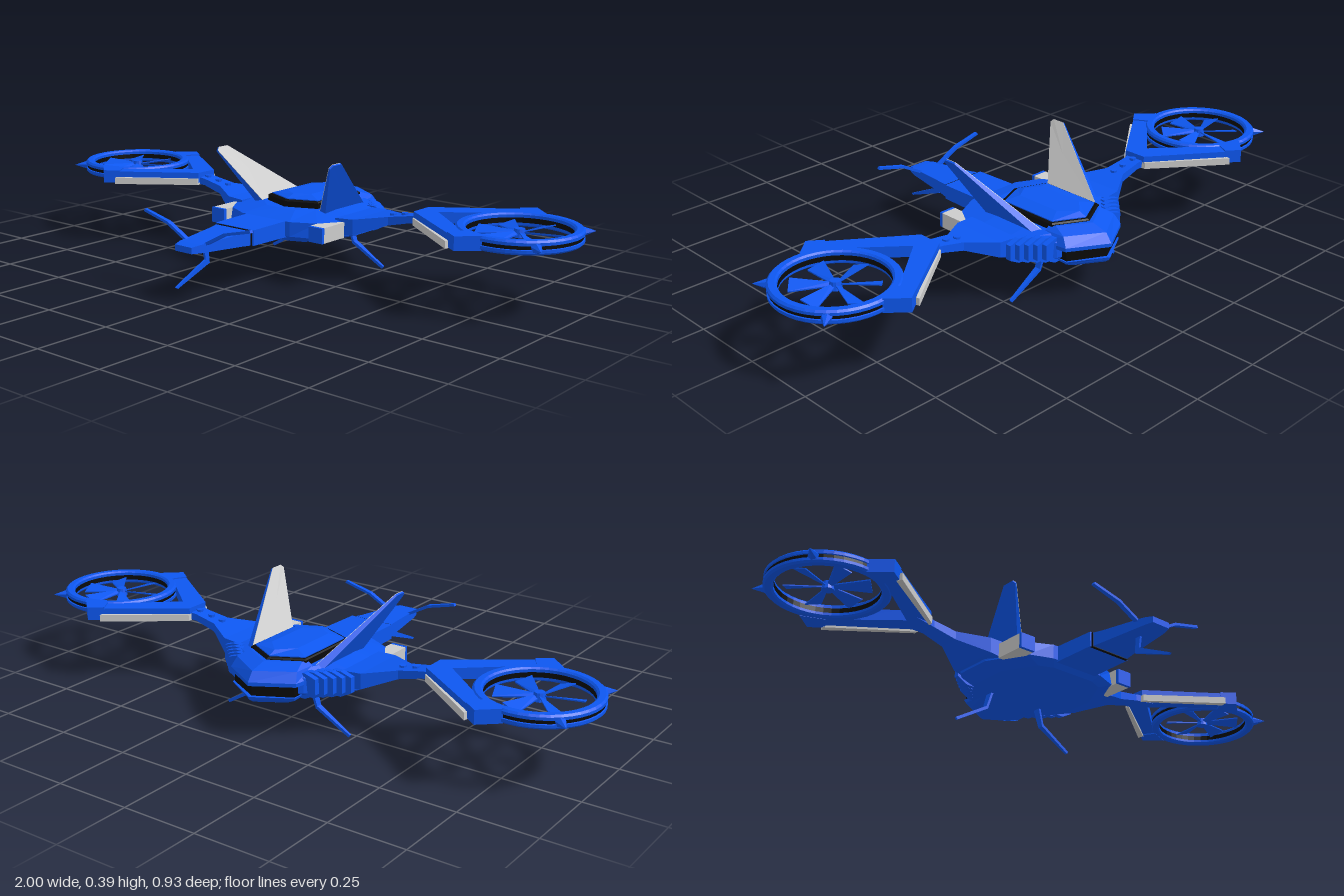
import * as THREE from 'three';

const mat = (color) => new THREE.MeshStandardMaterial({ color, flatShading: true });
const blue = mat(0x0d57f0), black = mat(0x0a0a0a), grey = mat(0xcccccc);
const ZC = -0.158; // z of the arms and rotors

function mesh(name, geo, material) {
  const m = new THREE.Mesh(geo, material);
  m.name = name;
  return m;
}

// Closed solid through cross-sections with equal point counts; winding is made to face outwards.
function loft(name, rings, material) {
  const tris = [], n = rings[0].length;
  const centre = (r) => [0, 1, 2].map((k) => r.reduce((s, p) => s + p[k], 0) / n);
  for (let i = 0; i < rings.length - 1; i++)
    for (let j = 0; j < n; j++) {
      const a = rings[i][j], b = rings[i][(j + 1) % n], c = rings[i + 1][(j + 1) % n], d = rings[i + 1][j];
      tris.push([a, b, c], [a, c, d]);
    }
  const first = rings[0], last = rings[rings.length - 1], c0 = centre(first), c1 = centre(last);
  for (let j = 0; j < n; j++) {
    const k = (j + 1) % n;
    tris.push([c0, first[k], first[j]], [c1, last[j], last[k]]);
  }
  const o = new THREE.Vector3(...c0);
  const v = (p) => new THREE.Vector3(...p).sub(o);
  const volume = tris.reduce((s, [a, b, c]) => s + v(a).dot(v(b).cross(v(c))), 0);
  if (volume < 0) tris.forEach((t) => t.reverse());
  const geo = new THREE.BufferGeometry();
  geo.setAttribute('position', new THREE.Float32BufferAttribute(tris.flat(2), 3));
  geo.computeVertexNormals();
  return mesh(name, geo, material);
}

// Symmetric solid from half plan outlines [x, z], one per height.
function layered(name, layers, material) {
  return loft(name, layers.map(([y, half]) => {
    const mirror = half.filter((p) => p[0] > 0).reverse().map(([x, z]) => [-x, z]);
    return half.concat(mirror).map(([x, z]) => [x, y, z]);
  }), material);
}

// Flat plan polygon given thickness in y.
const slab = (name, poly, y0, y1, material) =>
  loft(name, [y0, y1].map((y) => poly.map(([x, z]) => [x, y, z])), material);

// Tapered blade along a path of [x, y, z, halfWidth]; a is the width axis, b the thickness.
function prong(name, path, a, b) {
  const rings = path.map(([x, y, z, w]) => [[1, 1], [1, -1], [-1, -1], [-1, 1]].map(([i, j]) =>
    [x, y, z].map((q, k) => q + i * w * a[k] + j * b[k])));
  return loft(name, rings, blue);
}

// Rectangular sections [z, halfWidth, yLow, yHigh] along z.
const beam = (name, sections, material) => loft(name, sections.map(([z, w, y0, y1]) =>
  [[-w, y0, z], [w, y0, z], [w, y1, z], [-w, y1, z]]), material);

function fuselage(g) {
  g.add(layered('hull', [
    [0.13, [[0, 0.03], [0.08, 0.03], [0.13, 0.01], [0.19, -0.1], [0.19, -0.24], [0.13, -0.33], [0, -0.4]]],
    [0.15, [[0, 0.05], [0.1, 0.05], [0.18, 0.02], [0.25, -0.11], [0.25, -0.24], [0.13, -0.36], [0, -0.42]]],
    [0.198, [[0, 0.05], [0.1, 0.05], [0.18, 0.01], [0.255, -0.11], [0.255, -0.23], [0.13, -0.355], [0, -0.42]]],
    [0.218, [[0, -0.02], [0.06, -0.025], [0.11, -0.07], [0.15, -0.12], [0.15, -0.24], [0.11, -0.33], [0, -0.39]]],
  ], blue));
  // Tail: two plates with the dark exhaust between them
  g.add(layered('upperTail', [
    [0.178, [[0, -0.25], [0.14, -0.3], [0.125, -0.39], [0, -0.462]]],
    [0.19, [[0, -0.25], [0.14, -0.3], [0.125, -0.39], [0, -0.462]]],
    [0.22, [[0, -0.25], [0.12, -0.3], [0.115, -0.37], [0, -0.44]]],
    [0.234, [[0, -0.25], [0.1, -0.3], [0.1, -0.325], [0, -0.385]]],
  ], blue));
  g.add(layered('exhaust', [0.138, 0.18].map((y) =>
    [y, [[0, -0.3], [0.115, -0.3], [0.115, -0.385], [0, -0.446]]]), black));
  g.add(layered('lowerTail', [
    [0.12, [[0, -0.41], [0.06, -0.405], [0.09, -0.385], [0, -0.44]]],
    [0.131, [[0, -0.3], [0.11, -0.3], [0.115, -0.385], [0, -0.455]]],
    [0.142, [[0, -0.3], [0.12, -0.3], [0.12, -0.39], [0, -0.46]]],
  ], blue));
  // Canopy: dark skirt with a faceted ridge lid
  const hex = (k) => [[0, -0.042], [0.107, -0.085], [0.107, -0.315], [0, -0.372]]
    .map(([x, z]) => [x * k, (z + 0.207) * k - 0.207]);
  g.add(layered('canopyGlass', [[0.205, hex(1)], [0.236, hex(0.99)], [0.24, hex(0.95)]], black));
  g.add(layered('canopyLid', [
    [0.234, hex(0.9)], [0.243, hex(0.9)], [0.254, [[0, -0.09], [0.05, -0.12], [0.05, -0.28], [0, -0.33]]],
  ], blue));
  // Nose boom
  g.add(beam('noseBoom', [[-0.05, 0.085, 0.14, 0.2], [0.06, 0.082, 0.145, 0.198], [0.2, 0.08, 0.146, 0.196]], blue));
  g.add(beam('noseGap', [[0.195, 0.075, 0.145, 0.195], [0.206, 0.074, 0.145, 0.194]], black));
  g.add(beam('nose', [[0.204, 0.073, 0.147, 0.193], [0.24, 0.066, 0.149, 0.19],
    [0.4, 0.043, 0.156, 0.182], [0.43, 0.034, 0.158, 0.178]], blue));
  g.add(prong('chinFin', [[0, 0.165, 0.335, 0.014], [0, 0.11, 0.327, 0.011], [0, 0.053, 0.462, 0.004]],
    [0, 0.6, 0.8], [0.004, 0, 0]));
}

function rotor() {
  const g = new THREE.Group();
  g.name = 'rotor';
  const ring = (name, profile, m) => g.add(mesh(name,
    new THREE.LatheGeometry(profile.map((p) => new THREE.Vector2(...p)), 40), m));
  // Duct with a dark band around it
  ring('duct', [[0.16, 0.224], [0.166, 0.219], [0.184, 0.219], [0.19, 0.225], [0.19, 0.234], [0.184, 0.236],
    [0.184, 0.245], [0.19, 0.247], [0.19, 0.256], [0.184, 0.262], [0.166, 0.262], [0.16, 0.257], [0.16, 0.224]], blue);
  ring('ductBand', [[0.186, 0.234], [0.186, 0.247]], black);
  ring('ductLiner', [[0.159, 0.248], [0.159, 0.232]], black);
  const hub = mesh('hub', new THREE.CylinderGeometry(0.016, 0.02, 0.026, 12), blue);
  hub.position.y = 0.24;
  g.add(hub);
  for (let i = 0; i < 6; i++) {
    const section = (r, w, h) => [[r, 0.238 - h, -w], [r, 0.238 + h, w], [r, 0.242 + h, w], [r, 0.242 - h, -w]];
    const blade = loft('blade', [section(0.012, 0.006, 0.003), section(0.13, 0.026, 0.008)], blue);
    blade.rotation.y = (i + 0.3) * Math.PI / 3;
    g.add(blade);
  }
  return g;
}

function side(g, s) {
  const mx = (pts) => pts.map(([x, ...rest]) => [x * s, ...rest]);
  // Arm, bolts and forked struts
  g.add(loft('arm', [[0.2, 0.1, 0.15, 0.208], [0.265, 0.095, 0.16, 0.211], [0.36, 0.036, 0.196, 0.224],
    [0.44, 0.03, 0.215, 0.238], [0.52, 0.04, 0.222, 0.25]].map(([x, w, y0, y1]) =>
    mx([[x, y0, ZC - w], [x, y0, ZC + w], [x, y1, ZC + w], [x, y1, ZC - w]])), blue));
  [0.355, 0.4, 0.45].forEach((x, i) => {
    const bolt = mesh('bolt', new THREE.CylinderGeometry(0.011, 0.011, 0.012, 8), blue);
    bolt.position.set(x * s, 0.224 + i * 0.008, ZC);
    g.add(bolt);
  });
  for (const v of [1, -1]) {
    const plan = (pts) => pts.map(([x, z]) => [x * s, ZC + z * v]);
    g.add(slab('strut', plan([[0.46, 0], [0.46, 0.04], [0.735, 0.236], [0.79, 0.185], [0.71, 0.155], [0.525, 0]]),
      0.222, 0.258, blue));
    g.add(slab('strutEnd', plan([[0.69, 0.205], [0.735, 0.238], [0.795, 0.185], [0.72, 0.155]]), 0.218, 0.262, blue));
    g.add(slab('strutTrim', plan([[0.46, 0.03], [0.46, 0.046], [0.695, 0.222], [0.7, 0.2]]), 0.215, 0.238, grey));
    // Outer spikes of the duct
    const spike = mesh('ductSpike', new THREE.ConeGeometry(0.02, 0.055, 6), blue);
    spike.position.set(s * (0.81 + 0.145), 0.24, ZC + v * 0.145);
    spike.quaternion.setFromUnitVectors(new THREE.Vector3(0, 1, 0), new THREE.Vector3(s, 0, v).normalize());
    g.add(spike);
  }
  const r = rotor();
  r.position.set(0.81 * s, 0, ZC);
  g.add(r);

  // Canted fin with a pale inner face
  const inner = [[0.112, 0.198, -0.315], [0.112, 0.198, -0.085], [0.235, 0.385, 0.022],
    [0.24, 0.395, 0.012], [0.24, 0.395, -0.03]];
  const shift = (base, tip) => mx(inner.map(([x, y, z], i) => {
    const d = i < 2 ? base : tip;
    return [x + d * 0.84, y - d * 0.54, z];
  }));
  g.add(loft('tailFin', [shift(0, 0), shift(0.028, 0.006)], blue));
  g.add(loft('finPanel', [shift(-0.0015, -0.0015), shift(0.0005, 0.0005)], grey));

  // Front pod
  const pod = (name, z0, z1, m) => g.add(slab(name,
    mx([[0.18, z0], [0.235, z0], [0.235, z1], [0.18, z1]]), 0.148, 0.198, m));
  pod('pod', -0.06, 0.042, grey);
  pod('podCap', 0.042, 0.053, blue);

  // Stepped cooling ribs on the rear flank
  for (let i = 0; i < 5; i++) {
    const t = i / 4, x = 0.16 + 0.078 * t, z = -0.345 + 0.075 * t;
    g.add(loft('rib', [[0.13, -0.03], [0.15, 0.008], [0.2, 0.008], [0.212, -0.03]].map(([y, d]) =>
      mx([[x - 0.06, y, z + 0.012], [x + d, y, z + 0.012], [x + d, y, z - 0.006], [x - 0.06, y, z - 0.006]])), blue));
  }

  // Belly leg and nose feeler
  g.add(prong('bellyLeg', mx([[0.1, 0.14, -0.27, 0.014], [0.12, 0.075, -0.27, 0.01], [0.238, 0.006, -0.27, 0.004]]),
    [0, 0, 1], [0.003 * s, 0.004, 0]));
  g.add(prong('noseFeeler', mx([[0.02, 0.168, 0.37, 0.008], [0.12, 0.222, 0.37, 0.008], [0.222, 0.247, 0.37, 0.006]]),
    [0, 0, 1], [-0.002 * s, 0.004, 0]));
}

export function createModel() {
  const model = new THREE.Group();
  model.name = 'rotorcraft';
  fuselage(model);
  for (const s of [1, -1]) {
    const g = new THREE.Group();
    g.name = s > 0 ? 'leftSide' : 'rightSide';
    side(g, s);
    model.add(g);
  }
  return model;
}
